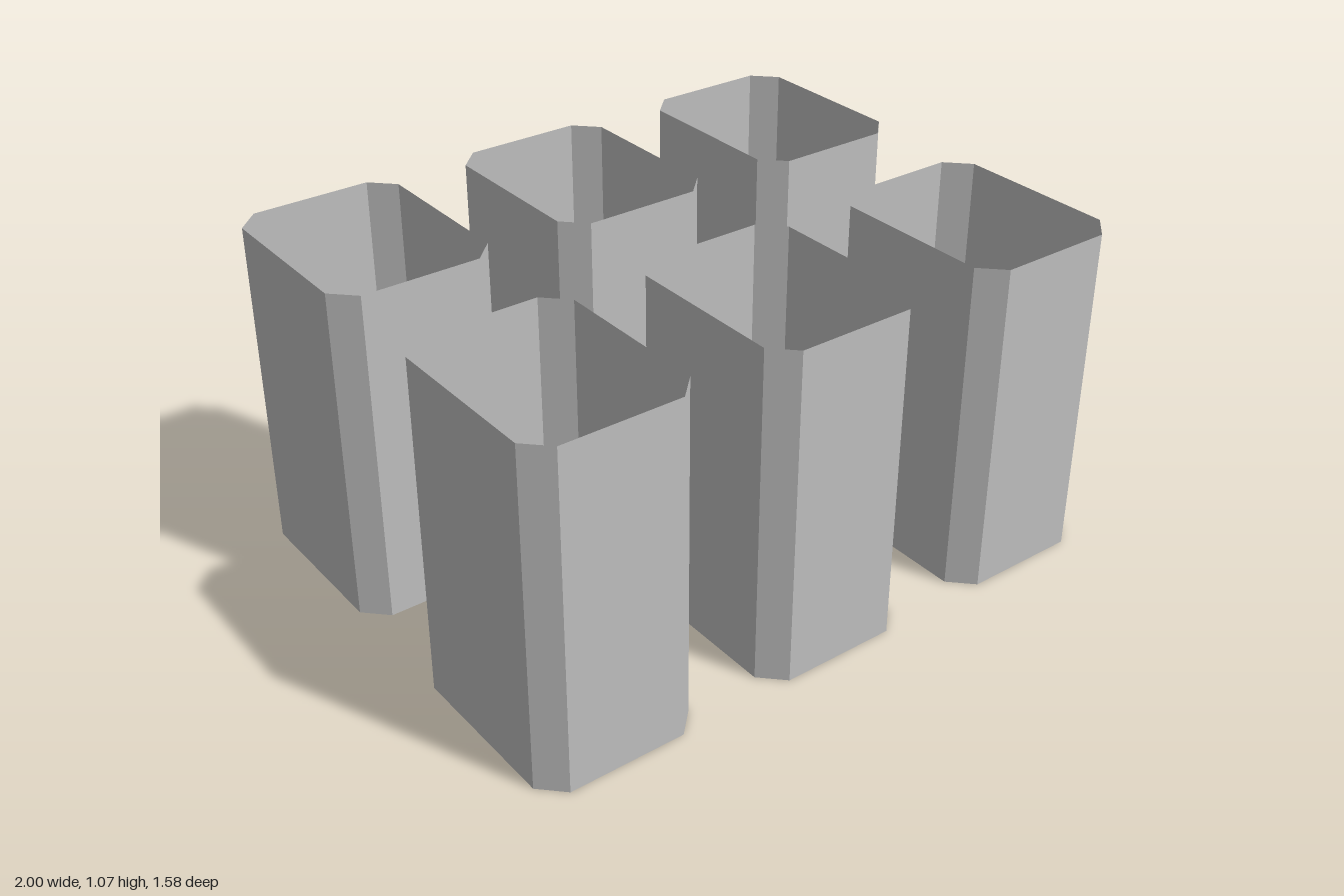
import * as THREE from 'three';

const WIDTH = 0.51, DEPTH = 0.645, HEIGHT = 1.065, CHAMFER = 0.07;

// Octagonal outline: a rectangle with its corners cut off
function outline() {
  const w = WIDTH / 2, d = DEPTH / 2, c = CHAMFER;
  return [
    [w, -d + c], [w, d - c], [w - c, d], [-w + c, d],
    [-w, d - c], [-w, -d + c], [-w + c, -d], [w - c, -d],
  ].map(([x, z]) => new THREE.Vector2(x, z));
}

// Thin wall with one flat panel for each side of the outline
function wallGeometry(points) {
  const positions = [];
  points.forEach((a, i) => {
    const b = points[(i + 1) % points.length];
    positions.push(
      a.x, 0, a.y, a.x, HEIGHT, a.y, b.x, HEIGHT, b.y,
      a.x, 0, a.y, b.x, HEIGHT, b.y, b.x, 0, b.y,
    );
  });
  const geometry = new THREE.BufferGeometry();
  geometry.setAttribute('position', new THREE.Float32BufferAttribute(positions, 3));
  geometry.computeVertexNormals();
  return geometry;
}

export function createModel() {
  const model = new THREE.Group();
  model.name = 'containers';

  const grey = new THREE.MeshStandardMaterial({ color: 0xc0c0c0, side: THREE.DoubleSide });
  grey.name = 'light grey';

  const points = outline();
  const wall = wallGeometry(points);
  const floor = new THREE.ShapeGeometry(new THREE.Shape(points)).rotateX(Math.PI / 2);

  // Two rows of three open-topped containers
  for (const z of [-0.4675, 0.4675]) {
    for (const x of [-0.745, 0, 0.745]) {
      const container = new THREE.Group();
      container.name = 'container';
      const wallMesh = new THREE.Mesh(wall, grey);
      wallMesh.name = 'wall';
      const floorMesh = new THREE.Mesh(floor, grey);
      floorMesh.name = 'floor';
      container.add(wallMesh, floorMesh);
      container.position.set(x, 0, z);
      model.add(container);
    }
  }
  return model;
}
